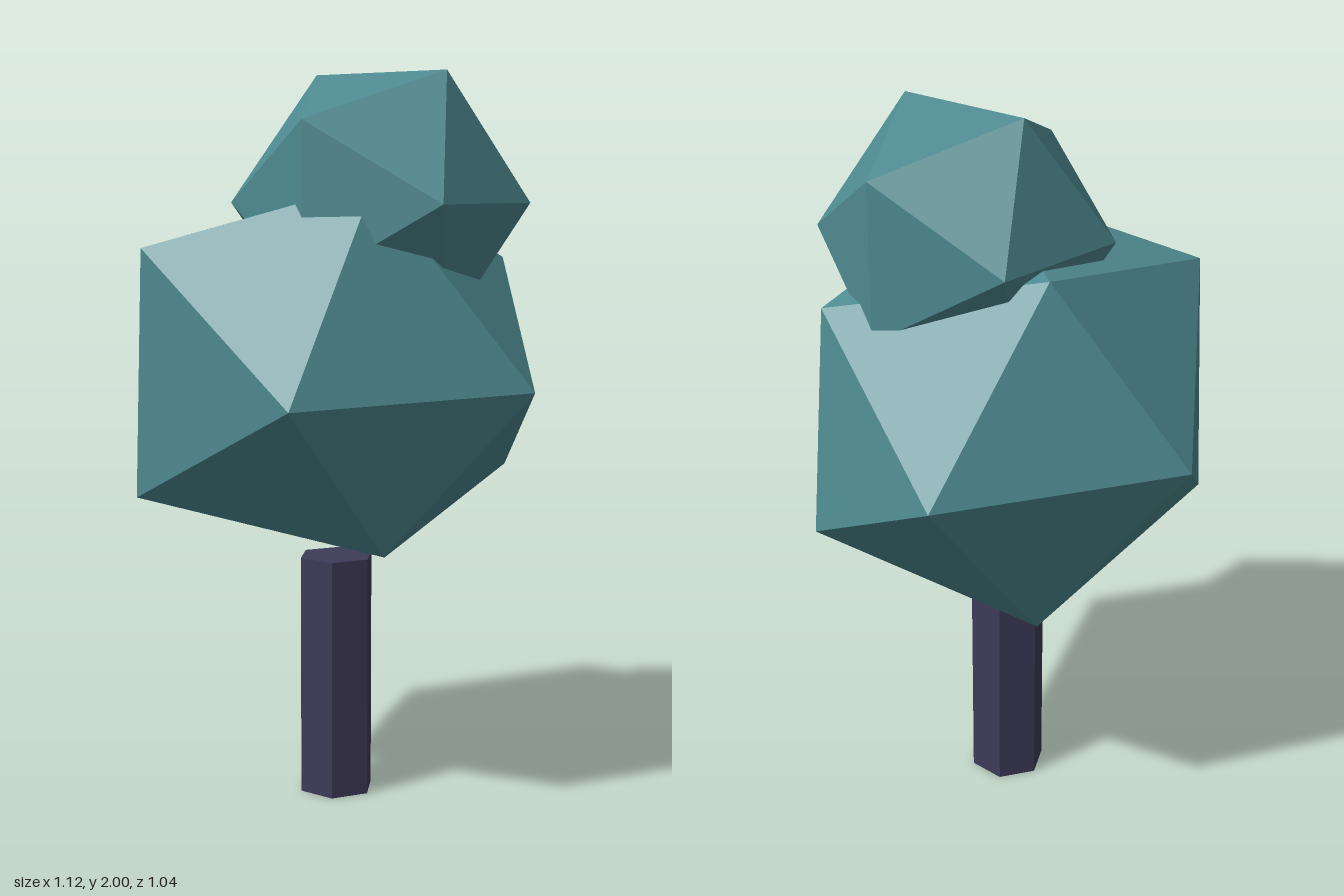
import * as THREE from 'three';
import { ConvexGeometry } from 'three/addons/geometries/ConvexGeometry.js';

export function createModel() {
  const tree = new THREE.Group();
  tree.name = 'tree';

  const foliage = new THREE.MeshStandardMaterial({ color: 0x4e8a90 });
  foliage.name = 'teal foliage';
  foliage.flatShading = true;
  const bark = new THREE.MeshStandardMaterial({ color: 0x3e3b58 });
  bark.name = 'dark bark';
  bark.flatShading = true;

  function add(name, geometry, material, x = 0, y = 0, z = 0) {
    const mesh = new THREE.Mesh(geometry, material);
    mesh.name = name;
    mesh.position.set(x, y, z);
    tree.add(mesh);
    return mesh;
  }

  // Six-sided trunk with corners pointing left and right
  const trunkHeight = 0.675;
  const trunk = add('trunk', new THREE.CylinderGeometry(0.108, 0.108, trunkHeight, 6),
    bark, -0.003, trunkHeight / 2, 0.025);
  trunk.rotation.y = Math.PI / 6;

  // Large crown: a slightly uneven twenty-sided lump
  const corners = [
    [-0.03, 1.71, 0.33], [-0.01, 1.64, -0.31],   // top ridge
    [-0.56, 1.54, 0.025], [0.5, 1.5, 0.05],      // upper sides
    [-0.345, 1.155, 0.52], [0.345, 1.17, 0.515], // front
    [-0.335, 1.15, -0.5], [0.37, 1.15, -0.525],  // back
    [-0.565, 0.87, -0.03], [0.56, 0.89, -0.03],  // lower sides
    [-0.02, 0.74, 0.38], [0.02, 0.66, -0.32],    // bottom ridge
  ];
  add('largeCrown', new ConvexGeometry(corners.map((c) => new THREE.Vector3(...c))), foliage);

  // Small crown on top, turned about the vertical
  const small = add('smallCrown', new THREE.IcosahedronGeometry(0.407, 0), foliage, 0.098, 1.655, 0.086);
  small.rotation.y = -Math.PI / 3;

  return tree;
}
